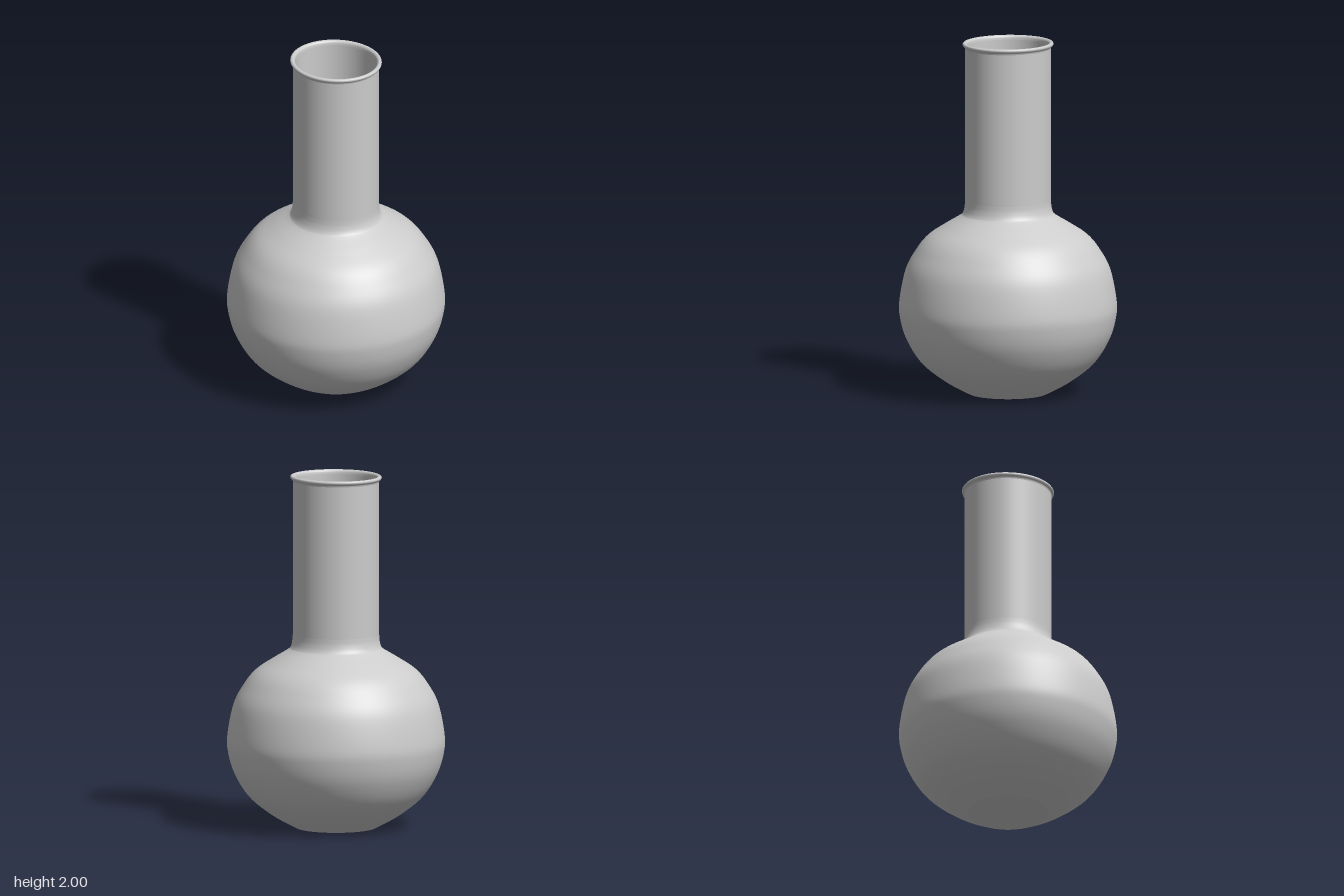
import * as THREE from 'three';

const SEGMENTS = 96;
const WALL = 0.013;
const FLOOR = 0.015;

// Bulb outline from the base edge up to the start of the neck: [radius, height]
const bulbOutline = [
  [0.225, 0], [0.36, 0.075], [0.49, 0.18], [0.572, 0.31], [0.608, 0.43], [0.611, 0.53],
  [0.577, 0.70], [0.52, 0.81], [0.455, 0.89], [0.36, 0.955], [0.272, 1.008],
  [0.25, 1.03], [0.239, 1.065], [0.236, 1.1],
];

// Rolled lip, from the outside of the neck over the top to the inside
const lipOutline = [
  [0.236, 1.966], [0.239, 1.975], [0.246, 1.98], [0.25, 1.988], [0.248, 1.996],
  [0.24, 2], [0.231, 1.997], [0.225, 1.989], [0.223, 1.975],
];

const toPoints = (list) => list.map(([r, y]) => new THREE.Vector2(r, y));
const smooth = (list, n) => new THREE.SplineCurve(toPoints(list)).getPoints(n);

export function createModel() {
  const group = new THREE.Group();
  const material = new THREE.MeshStandardMaterial({ color: 0xcccccc, side: THREE.DoubleSide });

  // Revolve a profile; the neck is slightly deeper than wide, blending into the round bulb
  function addTurned(name, points) {
    const geometry = new THREE.LatheGeometry(points, SEGMENTS);
    const pos = geometry.attributes.position;
    const nor = geometry.attributes.normal;
    const n = new THREE.Vector3();
    for (let i = 0; i < pos.count; i++) {
      const depth = 1 + 0.055 * THREE.MathUtils.smoothstep(pos.getY(i), 0.98, 1.08);
      pos.setZ(i, pos.getZ(i) * depth);
      n.fromBufferAttribute(nor, i);
      n.z /= depth;
      n.normalize();
      nor.setXYZ(i, n.x, n.y, n.z);
    }
    const mesh = new THREE.Mesh(geometry, material);
    mesh.name = name;
    group.add(mesh);
  }

  function addDisc(name, radius, y, tilt) {
    const mesh = new THREE.Mesh(new THREE.CircleGeometry(radius, SEGMENTS), material);
    mesh.name = name;
    mesh.rotation.x = tilt;
    mesh.position.y = y;
    group.add(mesh);
  }

  // Outer shell
  const bulb = smooth(bulbOutline, 90);
  addDisc('base', 0.225, 0, Math.PI / 2);
  addTurned('bulb', bulb);
  addTurned('neck', toPoints([[0.236, 1.1], [0.236, 1.966]]));
  addTurned('lip', smooth(lipOutline, 32));

  // Inner shell, running downwards so that it faces the axis
  const inner = bulb
    .filter((p) => p.y > FLOOR)
    .map((p) => new THREE.Vector2(p.x - WALL, p.y))
    .reverse();
  addTurned('neckInside', toPoints([[0.223, 1.975], [0.223, 1.1]]));
  addTurned('bulbInside', inner);
  const last = inner[inner.length - 1];
  addDisc('floorInside', last.x, last.y, -Math.PI / 2);

  return group;
}
